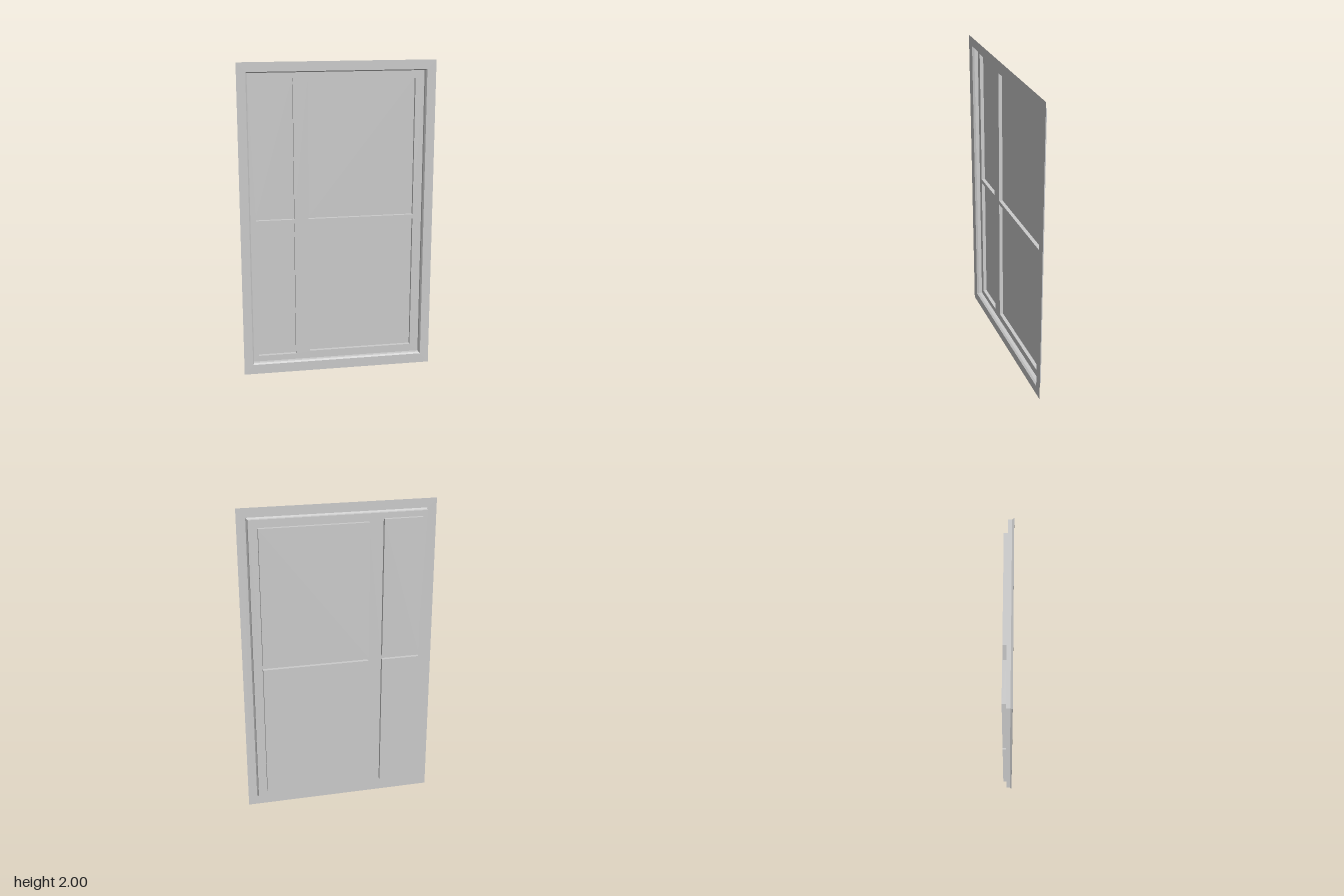
import * as THREE from 'three';

// A rectangle is [left, right, bottom, top]
const FRONT = 0.029, LIP = 0.017, FIELD = -0.006, BACK = -0.029;
const OUTER = [-0.612, 0.612, 0, 2];
const OPENING = [-0.556, 0.556, 0.063, 1.942];
const INSET = [-0.548, 0.548, 0.071, 1.935];
const PANES = {
  upperNarrowPane: [-0.513, -0.27, 1.016, 1.9],
  lowerNarrowPane: [-0.513, -0.27, 0.99, 0.109],
  upperWidePane: [-0.18, 0.492, 1.016, 1.886],
  lowerWidePane: [-0.18, 0.492, 0.99, 0.121],
};

const material = new THREE.MeshStandardMaterial({ color: 0xcccccc, side: THREE.DoubleSide });

function corners([l, r, y0, y1]) {
  const b = Math.min(y0, y1), t = Math.max(y0, y1);
  return [[l, b], [r, b], [r, t], [l, t]].map(([x, y]) => new THREE.Vector2(x, y));
}

// Flat sheet at depth z, with rectangular openings
function sheet(name, rect, z, holes = []) {
  const shape = new THREE.Shape(corners(rect));
  shape.holes = holes.map((h) => new THREE.Path(corners(h).reverse()));
  const mesh = new THREE.Mesh(new THREE.ShapeGeometry(shape), material);
  mesh.name = name;
  mesh.position.z = z;
  return mesh;
}

// Four walls joining a rectangle at one depth to a rectangle behind it
function walls(name, frontRect, frontZ, backRect, backZ) {
  const a = corners(frontRect), b = corners(backRect), pos = [];
  for (let i = 0; i < 4; i++) {
    const j = (i + 1) % 4;
    const a0 = [a[i].x, a[i].y, frontZ], a1 = [a[j].x, a[j].y, frontZ];
    const b0 = [b[i].x, b[i].y, backZ], b1 = [b[j].x, b[j].y, backZ];
    pos.push(...a0, ...a1, ...b1, ...a0, ...b1, ...b0);
  }
  const geometry = new THREE.BufferGeometry();
  geometry.setAttribute('position', new THREE.Float32BufferAttribute(pos, 3));
  geometry.computeVertexNormals();
  const mesh = new THREE.Mesh(geometry, material);
  mesh.name = name;
  return mesh;
}

export function createModel() {
  const group = new THREE.Group();
  group.name = 'panelledWindow';

  // Outer border, bevelled edge and recessed frame
  group.add(
    sheet('outerBorder', OUTER, FRONT, [OPENING]),
    walls('bevelledEdge', OPENING, FRONT, INSET, LIP),
    walls('frameReveal', INSET, LIP, INSET, FIELD),
    sheet('windowFrame', INSET, FIELD, Object.values(PANES)),
  );

  // Four panes sunk behind the frame
  for (const [name, rect] of Object.entries(PANES)) {
    group.add(walls(name + 'Reveal', rect, FIELD, rect, BACK), sheet(name, rect, BACK));
  }
  return group;
}
